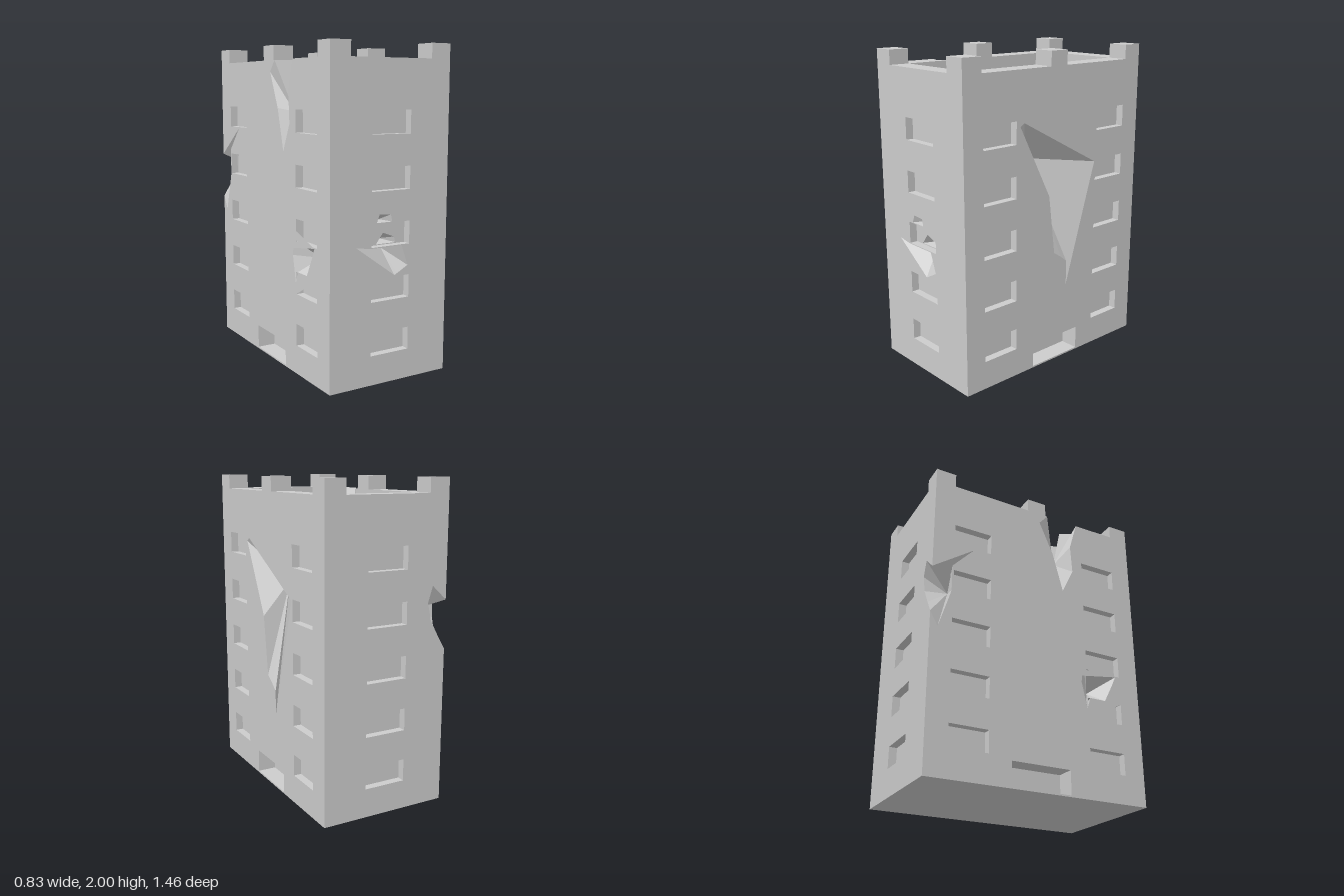
import * as THREE from 'three';

const W = 0.415, D = 0.73, TOP = 1.91, DECK = 1.8, IX = 0.28, IZ = 0.597;
const material = new THREE.MeshStandardMaterial({ color: 0xcccccc, flatShading: true, side: THREE.DoubleSide });

const toV2 = (pts) => pts.map(([x, y]) => new THREE.Vector2(x, y));
const rect = (x0, x1, y0, y1) => [[x0, y0], [x1, y0], [x1, y1], [x0, y1]];

function add(parent, name, geometry) {
  const mesh = new THREE.Mesh(geometry, material);
  mesh.name = name;
  parent.add(mesh);
  return mesh;
}

// Flat panel with holes, lying in the xy plane
function panel(outline, holes = []) {
  const shape = new THREE.Shape(toV2(outline));
  holes.forEach((h) => shape.holes.push(new THREE.Path(toV2(h))));
  return new THREE.ShapeGeometry(shape);
}

function triangles(list) {
  const g = new THREE.BufferGeometry();
  g.setAttribute('position', new THREE.Float32BufferAttribute(list.flat(2), 3));
  g.computeVertexNormals();
  return g;
}

// Broken pocket: a counter-clockwise rim joined to one deep point
const fan = (rim, apex) => triangles(rim.map((p, i) => [p, rim[(i + 1) % rim.length], apex]));

// Straight sides of a recess
function reveal(outline, depth) {
  return triangles(outline.flatMap(([x, y], i) => {
    const [u, v] = outline[(i + 1) % outline.length];
    return [[[x, y, 0], [u, v, 0], [u, v, -depth]], [[x, y, 0], [u, v, -depth], [x, y, -depth]]];
  }));
}

// One facade, drawn facing +z and then turned into place
function facade(name, angle, dist, outline, recesses, gouges) {
  const wall = new THREE.Group();
  wall.name = name;
  wall.rotation.y = angle;
  const out = new THREE.Group();
  out.position.z = dist;
  wall.add(out);
  add(out, 'wallFace', panel(outline, [...recesses.map((r) => r.rim), ...gouges.map((g) => g.rim)]));
  for (const { part, rim, depth, broken } of recesses) {
    add(out, part + 'Reveal', reveal(rim, depth));
    add(out, part + 'Back', panel(rim, broken ? [broken] : [])).position.z = -depth;
    if (broken) add(out, part + 'Breach', fan(broken.map(([x, y]) => [x, y, -depth]), [0.01, 0.85, -0.14]));
  }
  for (const { rim, apex } of gouges) add(out, 'gouge', fan(rim.map(([x, y]) => [x, y, 0]), apex));
  return wall;
}

const rows = [0.18, 0.505, 0.83, 1.155, 1.48];
const windows = (x0, x1) => rows.map((y) => ({ part: 'window', rim: rect(x0, x1, y, y + 0.137), depth: 0.05 }));
const sideOpenings = () => [
  ...windows(-0.59, -0.34), ...windows(0.34, 0.59),
  { part: 'door', rim: rect(-0.195, 0.195, 0.01, 0.16), depth: 0.12 },
];

export function createModel() {
  const model = new THREE.Group();
  model.name = 'damagedTower';

  // Front wall with damage around the middle window
  const frontWindows = windows(-0.135, 0.135);
  frontWindows[2].broken = [[-0.07, 0.835], [0.07, 0.835], [0.06, 0.87], [-0.02, 0.9]];
  model.add(facade('frontWall', 0, D, rect(-W, W, 0, TOP), frontWindows, [
    { rim: [[-0.24, 0.84], [0.03, 0.65], [0.05, 0.66], [0.125, 0.7], [0.08, 0.825], [-0.14, 0.825]], apex: [0, 0.8, -0.1] },
    { rim: [[-0.1, 0.972], [0.01, 0.972], [0, 1.015], [-0.08, 1.02]], apex: [-0.04, 0.98, -0.07] },
  ]));

  // Left wall (+x) with one large gouge
  model.add(facade('leftWall', Math.PI / 2, W, rect(-D, D, 0, TOP), sideOpenings(), [{
    rim: [[-0.31, 1.58], [-0.07, 1.12], [-0.02, 0.74], [0.04, 0.7], [0.09, 0.66], [0.09, 0.5],
      [0.28, 1.12], [0.33, 1.28], [-0.28, 1.6]],
    apex: [-0.09, 1.33, -0.2],
  }]));

  // Rims of the corner bite, (z, y) on the right wall and (-x, y) on the back wall
  const biteSide = [[-D, 0.98], [-0.68, 0.89], [-0.62, 1.08], [-0.6, 1.15], [-0.6, 1.32], [-0.46, 1.47], [-D, 1.28]];
  const biteBack = [[W, 0.98], [0.366, 1.06], [0.31, 1.16], [0.285, 1.27], [0.317, 1.37], [W, 1.28]];

  // Rim of the roof-edge bite on the right wall, (z, y)
  const roofBite = [[0.08, TOP], [0.02, 1.84], [0.116, 1.62], [0.185, 1.36], [0.266, 1.53], [0.255, 1.72], [0.31, TOP]];

  // Right wall (-x), its outline following both bites
  const rightOutline = [[-D, 0], [D, 0], [D, TOP], ...[...roofBite].reverse(), [-D, TOP], ...[...biteSide].reverse()];
  model.add(facade('rightWall', -Math.PI / 2, W, rightOutline, sideOpenings(), [{
    rim: [[0.3, 0.74], [0.335, 0.57], [0.36, 0.645], [0.47, 0.645], [0.53, 0.76], [0.56, 0.825],
      [0.38, 0.825], [0.335, 0.84], [0.32, 0.9]],
    apex: [0.42, 0.73, -0.13],
  }]));

  // Back wall
  const backOutline = [[-W, 0], [W, 0], ...biteBack, [W, TOP], [-W, TOP]];
  model.add(facade('backWall', Math.PI, D, backOutline, windows(-0.135, 0.135), []));

  // Corner bite surface
  add(model, 'cornerBite', fan([
    ...biteSide.map(([z, y]) => [-W, y, z]),
    ...biteBack.slice(1, -1).reverse().map(([u, y]) => [-u, y, -D]),
  ], [-0.28, 1.2, -0.57]));

  // Roof-edge bite surface, running over the parapet into the deck
  add(model, 'roofBite', fan([
    ...roofBite.map(([z, y]) => [-W, y, z]),
    [-0.33, TOP, 0.35], [-IX, TOP, 0.26], [-IX, DECK, 0.26],
    [-0.245, DECK, 0.1], [-IX, DECK, 0.06], [-IX, TOP, 0.1],
  ], [-0.33, 1.6, 0.17]));

  // Horizontal surfaces, outlines given as (x, z)
  const level = (name, y, pts) => {
    const g = panel(pts.map(([x, z]) => [x, -z]));
    g.rotateX(-Math.PI / 2);
    add(model, name, g).position.y = y;
  };
  level('parapetTop', TOP, [
    [-W, 0.31], [-W, D], [W, D], [W, -D], [-W, -D], [-W, 0.08],
    [-IX, 0.1], [-IX, -IZ], [IX, -IZ], [IX, IZ], [-IX, IZ], [-IX, 0.26], [-0.33, 0.35],
  ]);
  level('roofDeck', DECK, [[-IX, -IZ], [IX, -IZ], [IX, IZ], [-IX, IZ], [-IX, 0.26], [-0.245, 0.1], [-IX, 0.06]]);
  const base = panel(rect(-W, W, -D, D));
  base.rotateX(Math.PI / 2);
  add(model, 'underside', base);

  // Inner faces of the parapet
  const inner = (angle, dist, pts) => {
    const g = panel(pts);
    g.translate(0, 0, -dist);
    g.rotateY(angle);
    add(model, 'parapetInside', g);
  };
  inner(0, IZ, rect(-IX, IX, DECK, TOP));
  inner(Math.PI, IZ, rect(-IX, IX, DECK, TOP));
  inner(-Math.PI / 2, IX, rect(-IZ, IZ, DECK, TOP));
  inner(Math.PI / 2, IX, rect(-IZ, -0.26, DECK, TOP));
  inner(Math.PI / 2, IX, [[-0.06, DECK], [IZ, DECK], [IZ, TOP], [-0.1, TOP]]);

  // Battlement blocks at the corners and the middle of the long sides
  for (const side of [-1, 1]) {
    for (const z of [-(D + IZ) / 2, 0, (D + IZ) / 2]) {
      const block = add(model, 'battlement', new THREE.BoxGeometry(W - IX, 2 - TOP, D - IZ));
      block.position.set(side * (W + IX) / 2, (2 + TOP) / 2, z);
    }
  }
  return model;
}
